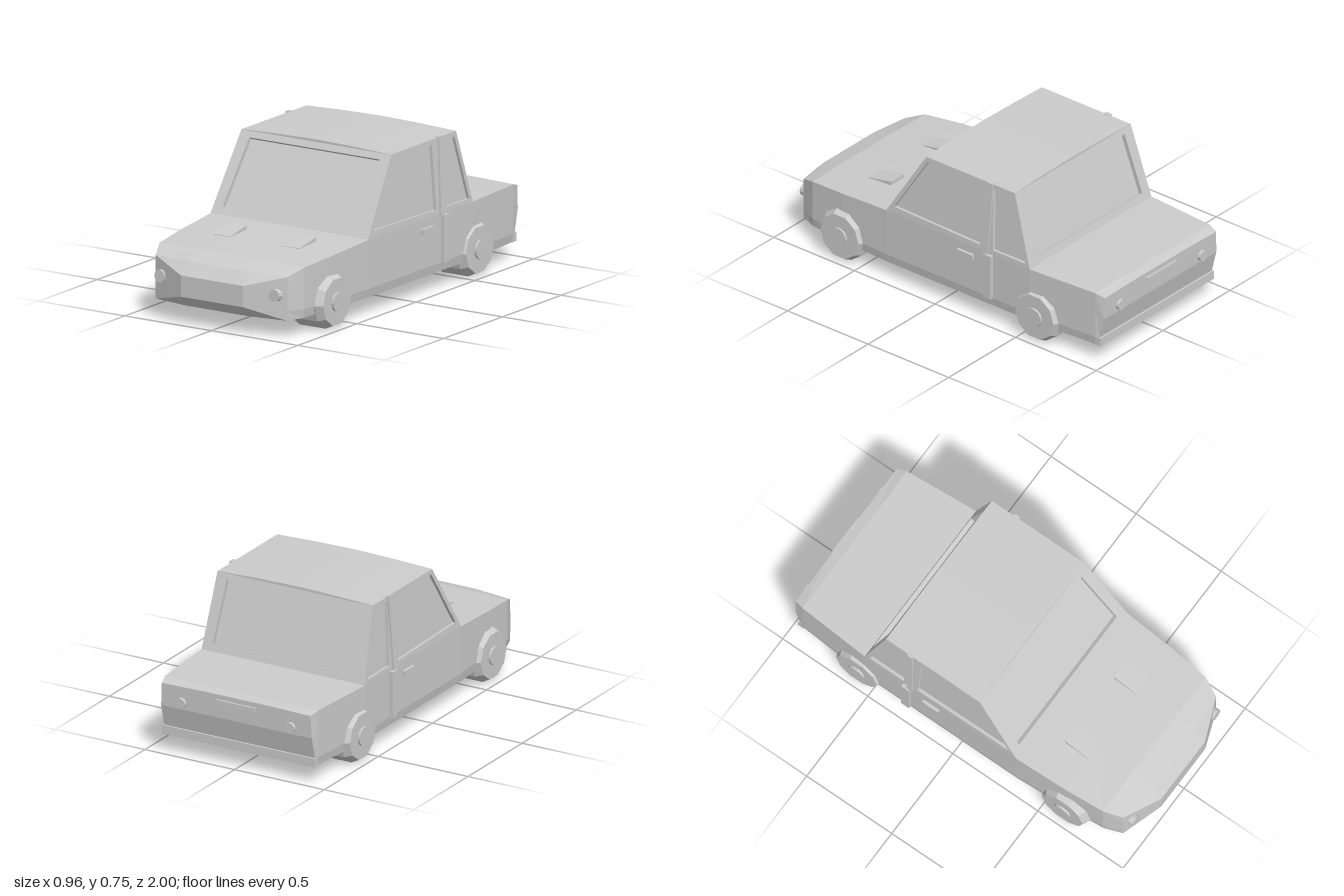
import * as THREE from 'three';

const paint = new THREE.MeshStandardMaterial({ color: 0xcccccc, flatShading: true });
paint.name = 'grey paint';

function add(parent, name, geometry, x = 0, y = 0, z = 0) {
  const mesh = new THREE.Mesh(geometry, paint);
  mesh.name = name;
  mesh.position.set(x, y, z);
  parent.add(mesh);
  return mesh;
}

// Skin over mirrored half sections (listed bottom to top), rear to front, with closed ends
function loft(halves) {
  const rings = halves.map(h => [...h, ...h.map(([x, y, z]) => [-x, y, z]).reverse()]);
  const n = rings[0].length, out = [];
  const quad = (a, b, c, d) => out.push(...a, ...b, ...c, ...a, ...c, ...d);
  for (let i = 0; i < rings.length - 1; i++)
    for (let k = 0; k < n; k++) {
      const m = (k + 1) % n;
      quad(rings[i][k], rings[i][m], rings[i + 1][m], rings[i + 1][k]);
    }
  const first = rings[0], last = rings[rings.length - 1];
  for (let k = 0; k < n / 2 - 1; k++) {
    quad(last[k], last[k + 1], last[n - 2 - k], last[n - 1 - k]);
    quad(first[n - 1 - k], first[n - 2 - k], first[k + 1], first[k]);
  }
  const g = new THREE.BufferGeometry();
  g.setAttribute('position', new THREE.Float32BufferAttribute(out, 3));
  g.computeVertexNormals();
  return g;
}

// Flat framed panel with recessed panes; corners run anticlockwise seen from outside
function windowPanel(parent, name, corners, holes, depth) {
  const [a, b, , d] = corners;
  const u = b.clone().sub(a).normalize();
  const n = u.clone().cross(d.clone().sub(a)).normalize();
  const v = n.clone().cross(u);
  const flat = pts => pts.map(p => {
    const q = p.clone().sub(a);
    return new THREE.Vector2(q.dot(u), q.dot(v));
  });
  const matrix = new THREE.Matrix4().makeBasis(u, v, n).setPosition(a);
  const shape = new THREE.Shape(flat(corners));
  holes.forEach(h => shape.holes.push(new THREE.Path(flat(h))));
  const frame = new THREE.ExtrudeGeometry(shape, { depth, bevelEnabled: false });
  add(parent, name + 'Frame', frame.translate(0, 0, -depth).applyMatrix4(matrix));
  holes.forEach(h => {
    const pane = new THREE.ShapeGeometry(new THREE.Shape(flat(h)));
    add(parent, name + 'Glass', pane.translate(0, 0, -depth).applyMatrix4(matrix));
  });
}

// Straight body section at z
const section = (z, w, top, crown) => [
  [0.18, 0.085, z], [w - 0.008, 0.085, z], [w, 0.13, z],
  [w, 0.29, z], [w, top, z], [0.18, top + crown, z],
];

export function createModel() {
  const car = new THREE.Group();
  car.name = 'car';

  // Lower body: tail, boot, doors, bonnet, pointed nose
  add(car, 'body', loft([
    [[0.18, 0.085, -0.945], [0.415, 0.085, -0.945], [0.42, 0.13, -0.955],
      [0.42, 0.24, -0.982], [0.415, 0.355, -0.985], [0.18, 0.36, -0.985]],
    section(-0.935, 0.428, 0.37, 0),
    section(-0.55, 0.455, 0.372, 0),
    section(0.34, 0.455, 0.372, 0.004),
    section(0.62, 0.44, 0.352, 0.006),
    section(0.825, 0.42, 0.335, 0.006),
    [[0.18, 0.085, 0.945], [0.38, 0.085, 0.915], [0.382, 0.13, 0.915],
      [0.382, 0.22, 0.915], [0.38, 0.3, 0.915], [0.18, 0.303, 0.938]],
    [[0.18, 0.14, 0.995], [0.18, 0.14, 0.995], [0.18, 0.17, 0.995],
      [0.18, 0.21, 0.995], [0.18, 0.245, 0.995], [0.18, 0.245, 0.995]],
  ]));
  add(car, 'rearBumper', new THREE.BoxGeometry(0.85, 0.045, 0.035), 0, 0.1075, -0.947);

  // Cabin: windscreen, rear window and the two sides
  const cabin = new THREE.Group();
  cabin.name = 'cabin';
  car.add(cabin);
  const front = ([x, y]) => new THREE.Vector3(x, y, 0.34 - (y - 0.372) * 0.625);
  const back = ([x, y]) => new THREE.Vector3(-x, y, -0.55 + (y - 0.372) * 0.3);
  const outline = [[-0.455, 0.372], [0.455, 0.372], [0.433, 0.74], [-0.433, 0.74]];
  const opening = [[-0.4, 0.408], [0.4, 0.408], [0.377, 0.712], [-0.377, 0.712]];
  windowPanel(cabin, 'windscreen', outline.map(front), [opening.map(front)], 0.022);
  windowPanel(cabin, 'rearWindow', outline.map(back), [opening.map(back)], 0.022);

  const sideOutline = [[0.34, 0.372], [-0.55, 0.372], [-0.44, 0.74], [0.11, 0.74]];
  const sideOpenings = [
    [[0.295, 0.408], [-0.24, 0.395], [-0.232, 0.716], [0.098, 0.716]],
    [[-0.322, 0.393], [-0.53, 0.393], [-0.432, 0.716], [-0.308, 0.716]],
  ];
  for (const s of [1, -1]) {
    const side = pts => {
      const p = pts.map(([z, y]) => new THREE.Vector3(s * (0.455 - (y - 0.372) * 0.06), y, z));
      return s > 0 ? p : p.reverse();
    };
    windowPanel(cabin, 'sideWindow', side(sideOutline), sideOpenings.map(side), 0.015);
  }

  // Gently arched roof
  const roof = new THREE.Shape([[-0.433, 0.733], [0.433, 0.733], [0.432, 0.741], [0.22, 0.749],
    [0, 0.753], [-0.22, 0.749], [-0.432, 0.741]].map(p => new THREE.Vector2(...p)));
  add(cabin, 'roof', new THREE.ExtrudeGeometry(roof, { depth: 0.55, bevelEnabled: false }), 0, 0, -0.44);

  // Wheel profile about its axle: x is radius, y is distance from the car's centre line
  const tyre = new THREE.LatheGeometry([[0, 0.28], [0.137, 0.28], [0.137, 0.43], [0.118, 0.468], [0, 0.468]]
    .map(p => new THREE.Vector2(...p)), 10).rotateZ(-Math.PI / 2);
  const hub = new THREE.CylinderGeometry(0.048, 0.048, 0.03, 14).rotateZ(Math.PI / 2);
  const disc = (r, len) => new THREE.CylinderGeometry(r, r, len, 12).rotateX(Math.PI / 2);

  // Bonnet scoop: wedge rising toward the windscreen
  const wedge = new THREE.Shape([[-0.62, 0.345], [-0.48, 0.345], [-0.48, 0.386], [-0.62, 0.36]]
    .map(p => new THREE.Vector2(...p)));
  const scoop = new THREE.ExtrudeGeometry(wedge, { depth: 0.1, bevelEnabled: false })
    .rotateY(Math.PI / 2).translate(-0.05, 0, 0);

  for (const s of [1, -1]) {
    for (const z of [0.62, -0.59]) {
      const wheel = new THREE.Group();
      wheel.name = z > 0 ? 'frontWheel' : 'rearWheel';
      wheel.position.set(0, 0.13, z);
      wheel.rotation.y = s > 0 ? 0 : Math.PI;
      add(wheel, 'tyre', tyre);
      add(wheel, 'hub', hub, 0.464);
      car.add(wheel);
    }
    add(car, 'bonnetScoop', scoop, s * 0.2);
    add(car, 'headlight', disc(0.031, 0.05), s * 0.33, 0.21, 0.93);
    add(car, 'tailLight', disc(0.027, 0.03), s * 0.305, 0.275, -0.985);
    add(car, 'doorHandle', new THREE.BoxGeometry(0.02, 0.028, 0.095), s * 0.46, 0.315, -0.157);
    // Door pillar trim: upper part leans with the cabin
    add(car, 'lowerPillarTrim', new THREE.BoxGeometry(0.03, 0.235, 0.045), s * 0.459, 0.2475, -0.3);
    const trim = add(car, 'upperPillarTrim', new THREE.BoxGeometry(0.02, 0.385, 0.03), s * 0.445, 0.553, -0.288);
    trim.rotation.set(-0.04, 0, s * 0.06);
  }
  add(car, 'bootHandle', new THREE.BoxGeometry(0.22, 0.02, 0.02), 0, 0.325, -0.985);
  return car;
}
